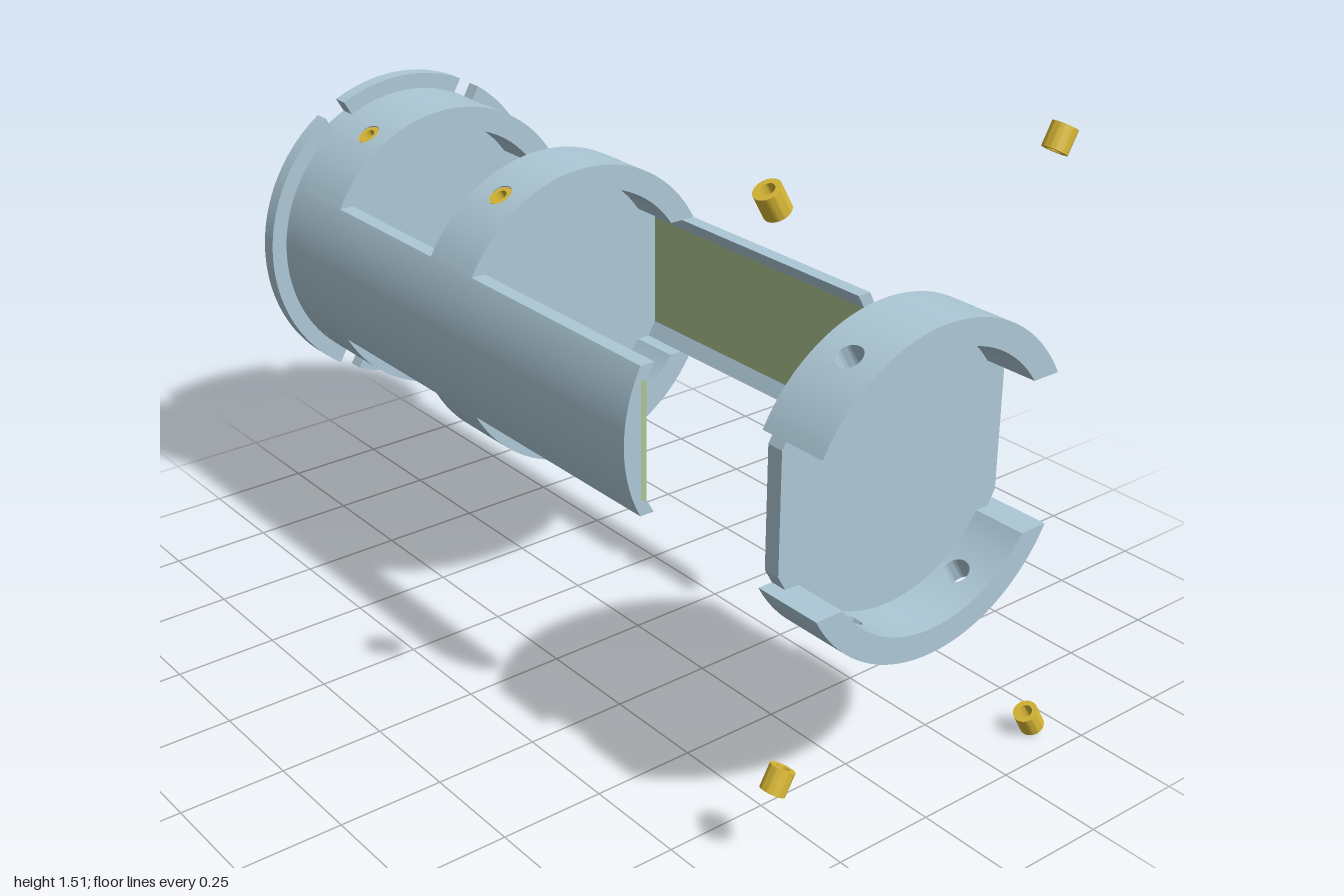
import * as THREE from 'three';
import { toCreasedNormals } from 'three/addons/utils/BufferGeometryUtils.js';
import { ParametricGeometry } from 'three/addons/geometries/ParametricGeometry.js';

const PI = Math.PI, RAD = PI / 180;
const R_OUT = 0.37, R_IN = 0.31, R_FLANGE = 0.41;
const CUT = 0.175;            // half height of the side rails and ring openings
const FLAT = 0.14;            // half height of the rails' inner flat
const RING_LEN = 0.17, HOLE_R = 0.03;
const BOLT_ANGLES = [60, 120, 240, 300].map(a => a * RAD);

const shellMat = new THREE.MeshStandardMaterial({ color: 0xadc8d6 });
const panelMat = new THREE.MeshStandardMaterial({ color: 0xabc491 });
const brassMat = new THREE.MeshStandardMaterial({ color: 0xdab936 });

function add(parent, name, geometry, material) {
  const mesh = new THREE.Mesh(geometry, material);
  mesh.name = name;
  parent.add(mesh);
  return mesh;
}

// Extrude a shape from z0 to z1
function slab(shape, z0, z1) {
  const g = new THREE.ExtrudeGeometry(shape, { depth: z1 - z0, bevelEnabled: false, curveSegments: 48 });
  g.translate(0, 0, z0);
  return toCreasedNormals(g, 0.5);
}

function circleHole(shape, r) {
  shape.holes.push(new THREE.Path().absarc(0, 0, r, 0, 2 * PI, true));
  return shape;
}

// Quarter of a ring with a radial hole: loops grow from the hole to the quarter's border
function drilledQuarter() {
  const steps = 8, loop = [];
  for (let i = 0; i <= steps; i++) loop.push([i / steps, R_OUT]);
  for (let i = steps; i >= 0; i--) loop.push([i / steps, R_IN]);
  loop.push(loop[0]);
  const corners = [[0, 0], [0, 1], [1, 1], [1, 0], [0, 0]];
  const point = (u, w, target) => {
    const [v, r] = loop[Math.min(loop.length - 1, Math.max(0, Math.round(w * (loop.length - 1))))];
    const uu = Math.min(1, Math.max(0, u)) * 4, k = Math.min(3, Math.floor(uu)), f = uu - k;
    const s = corners[k][0] + (corners[k + 1][0] - corners[k][0]) * f;
    const t = corners[k][1] + (corners[k + 1][1] - corners[k][1]) * f;
    const start = Math.asin(CUT / r);
    const edgeA = start + (PI / 2 - start) * s, edgeZ = (t - 0.5) * RING_LEN;
    // clockwise about the hole, starting at the low-angle, low-z corner
    const a = -0.75 * PI - uu * PI / 2;
    const holeA = PI / 3 + Math.asin(HOLE_R * Math.cos(a) / r), holeZ = HOLE_R * Math.sin(a);
    const angle = holeA + (edgeA - holeA) * v;
    target.set(r * Math.cos(angle), r * Math.sin(angle), holeZ + (edgeZ - holeZ) * v);
  };
  return toCreasedNormals(new ParametricGeometry(point, 64, loop.length - 1), 0.5);
}

// Bulkhead outline: round above and below, flat with chamfers at the sides
function bulkheadShape() {
  const a = Math.asin(CUT / R_IN), s = new THREE.Shape();
  s.moveTo(0.31, -FLAT);
  s.lineTo(0.31, FLAT);
  s.lineTo(0.29, CUT);
  s.absarc(0, 0, R_IN, a, PI - a, false);
  s.lineTo(-0.29, CUT);
  s.lineTo(-0.31, FLAT);
  s.lineTo(-0.31, -FLAT);
  s.lineTo(-0.29, -CUT);
  s.absarc(0, 0, R_IN, PI + a, 2 * PI - a, false);
  s.lineTo(0.29, -CUT);
  s.closePath();
  return s;
}

// Rail section: curved outside, pocket for the panel inside
function railShape() {
  const a = Math.asin(CUT / R_OUT), s = new THREE.Shape();
  s.absarc(0, 0, R_OUT, -a, a, false);
  [[0.29, CUT], [0.31, FLAT], [0.325, FLAT], [0.325, -FLAT], [0.31, -FLAT], [0.29, -CUT]]
    .forEach(p => s.lineTo(...p));
  s.closePath();
  return s;
}

// Flange outline with four notches in the rim
function flangeShape() {
  const half = 0.032, ho = Math.asin(half / R_FLANGE), hi = Math.asin(half / R_OUT);
  const s = new THREE.Shape();
  BOLT_ANGLES.forEach((a, i) => {
    const next = i < 3 ? BOLT_ANGLES[i + 1] : BOLT_ANGLES[0] + 2 * PI;
    s.absarc(0, 0, R_OUT, a - hi, a + hi, false);
    s.absarc(0, 0, R_FLANGE, a + ho, next - ho, false);
  });
  s.closePath();
  return circleHole(s, R_IN);
}

// Hollow threaded insert, axis along y
function insertGeometry() {
  const o = 0.0285, i = 0.016, h = 0.0275;
  const profile = [[i, -h], [o, -h], [o, h], [i, h], [i, -h]].map(p => new THREE.Vector2(...p));
  return toCreasedNormals(new THREE.LatheGeometry(profile, 32), 0.6);
}

export function createModel() {
  const model = new THREE.Group();
  model.name = 'cylindricalChassis';
  const body = new THREE.Group();
  body.name = 'assembly';
  body.position.set(-0.02, 0.79, 0);
  model.add(body);

  const quarter = drilledQuarter(), insert = insertGeometry(), plate = bulkheadShape();
  const turns = [[0, 0, 0], [0, PI, 0], [PI, 0, 0], [0, 0, PI]];

  function placeInsert(parent, name, r, angle, z) {
    const m = add(parent, name, insert, brassMat);
    m.position.set(r * Math.cos(angle), r * Math.sin(angle), z);
    m.rotation.z = angle - PI / 2;
  }

  // Drilled rings, each closed by a bulkhead at its back
  [['frontCap', 0.915, false], ['middleRing', -0.255, true], ['rearRing', -0.835, true]]
    .forEach(([name, z, fitted]) => {
      const ring = new THREE.Group();
      ring.name = name;
      ring.position.z = z;
      body.add(ring);
      turns.forEach(t => add(ring, 'ringQuarter', quarter, shellMat).rotation.set(...t));
      add(ring, 'bulkhead', slab(plate, -RING_LEN / 2, -RING_LEN / 2 + 0.04), shellMat);
      if (fitted) BOLT_ANGLES.forEach(a => placeInsert(ring, 'threadedInsert', 0.34, a, 0));
    });

  // Side rails with inner panels
  const rail = slab(railShape(), -0.92, 0.45);
  [['leftRail', 0], ['rightRail', PI]].forEach(([name, turn]) => {
    const side = new THREE.Group();
    side.name = name;
    side.rotation.z = turn;
    body.add(side);
    add(side, 'rail', rail, shellMat);
    const panel = add(side, 'innerPanel', new THREE.BoxGeometry(0.015, 2 * FLAT, 1.37), panelMat);
    panel.position.set(0.3175, 0, -0.235);
  });

  // Rear collar and notched flange
  const collar = circleHole(new THREE.Shape().absarc(0, 0, R_OUT, 0, 2 * PI, false), R_IN);
  add(body, 'rearCollar', slab(collar, -0.96, -0.92), shellMat);
  add(body, 'rearFlange', slab(flangeShape(), -1, -0.96), shellMat);

  // Loose inserts drawn out around the front cap
  [0.744, 0.786, 0.672, 0.865].forEach((r, i) => placeInsert(body, 'looseInsert', r, BOLT_ANGLES[i], 0.915));

  return model;
}
